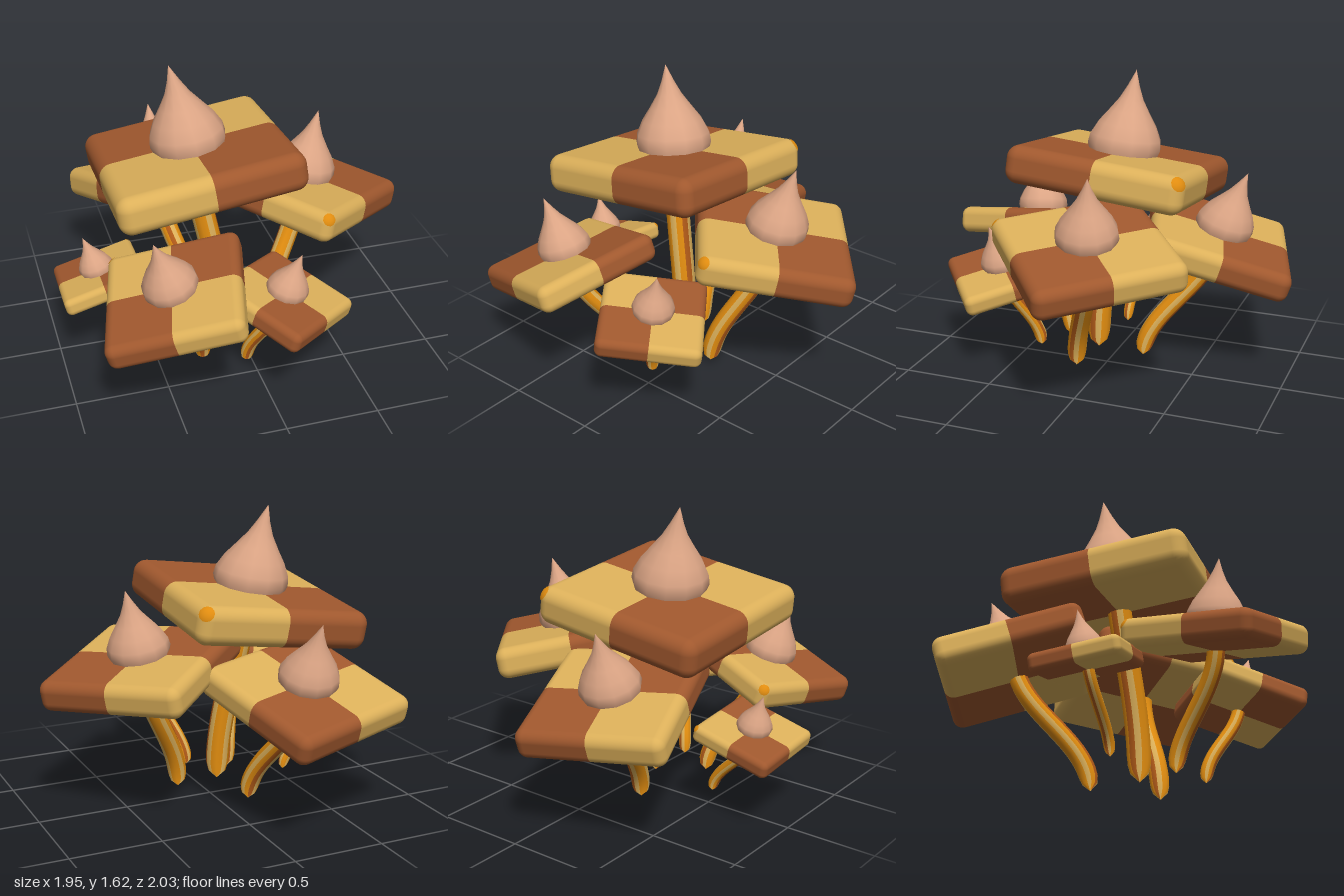
import * as THREE from 'three';

const mat = (name, color) => {
  const m = new THREE.MeshStandardMaterial({ color });
  m.name = name;
  return m;
};

// Reorders triangles so each material index given by pick() forms one group
function paint(geo, count, pick) {
  const idx = geo.index.array, bins = Array.from({ length: count }, () => []);
  for (let t = 0; t < idx.length / 3; t++) bins[pick(t, idx)].push(idx[3 * t], idx[3 * t + 1], idx[3 * t + 2]);
  geo.setIndex(bins.flat());
  geo.clearGroups();
  let start = 0;
  bins.forEach((b, i) => { geo.addGroup(start, b.length, i); start += b.length; });
  return geo;
}

const HALF = 0.5, THICK = 0.105, ROUND = 0.07;

// Rounded square biscuit in a two by two check
function capGeometry() {
  const n = 12;
  const geo = new THREE.BoxGeometry(2, 2, 2, n, n, n);
  const p = geo.attributes.position, nor = geo.attributes.normal;
  const half = [HALF, THICK, HALF];
  // Outer five steps of each axis cover the rounded rim, the middle is flat
  const remap = (u, h) => {
    const k = Math.round(Math.abs(u) * n / 2), core = h - ROUND;
    const a = k < 2 ? core * k / 2 : core + ROUND * Math.tan((k - 2) / 4 * Math.PI / 4);
    return Math.sign(u) * a;
  };
  for (let i = 0; i < p.count; i++) {
    const v = [p.getX(i), p.getY(i), p.getZ(i)].map((u, a) => remap(u, half[a]));
    const core = v.map((c, a) => THREE.MathUtils.clamp(c, ROUND - half[a], half[a] - ROUND));
    const d = new THREE.Vector3(...v.map((c, a) => c - core[a])).normalize();
    p.setXYZ(i, core[0] + d.x * ROUND, core[1] + d.y * ROUND, core[2] + d.z * ROUND);
    nor.setXYZ(i, d.x, d.y, d.z);
  }
  return paint(geo, 2, (t, idx) => {
    let x = 0, z = 0;
    for (let k = 0; k < 3; k++) { x += p.getX(idx[3 * t + k]); z += p.getZ(idx[3 * t + k]); }
    return x * z > 0 ? 1 : 0;
  });
}

// Pointed cream dollop with a slightly bent tip
function dollopGeometry() {
  const profile = [[0.19, -0.02], [0.207, 0.03], [0.2, 0.08], [0.165, 0.15], [0.115, 0.22],
    [0.068, 0.29], [0.035, 0.36], [0, 0.45]].map(([x, y]) => new THREE.Vector2(x, y));
  const geo = new THREE.LatheGeometry(profile, 12);
  const p = geo.attributes.position;
  for (let i = 0; i < p.count; i++) p.setX(i, p.getX(i) - 0.15 * Math.max(0, p.getY(i)) ** 2);
  return geo;
}

// Striped bent stalk with a rounded foot
function stemGeometry(base, top, normal, r) {
  const h = (top.y - base.y) * 0.4;
  const path = new THREE.CubicBezierCurve3(base, base.clone().setY(base.y + h),
    top.clone().addScaledVector(normal, -h), top);
  const rings = 20, sides = 12;
  const geo = new THREE.TubeGeometry(path, rings, r, sides);
  const p = geo.attributes.position, v = new THREE.Vector3();
  [0, 0.75, 0.95].forEach((k, j) => {
    const c = path.getPointAt(j / rings);
    for (let i = 0; i <= sides; i++) {
      const q = j * (sides + 1) + i;
      v.fromBufferAttribute(p, q).sub(c).multiplyScalar(k).add(c);
      p.setXYZ(q, v.x, v.y, v.z);
    }
  });
  const stripes = [0, 0, 1, 2, 0, 1];
  return paint(geo, 3, (t) => stripes[(Math.floor(t / 2) % sides) % stripes.length]);
}

export function createModel() {
  const gold = mat('golden biscuit', 0xdcb05a);
  const brown = mat('cocoa biscuit', 0xa0582e);
  const cream = mat('pink cream', 0xdca585);
  const orange = mat('orange', 0xe08c10);
  const rust = mat('rust stripe', 0xb05a18);

  const capGeo = capGeometry(), dollopGeo = dollopGeometry();
  const spotGeo = new THREE.SphereGeometry(ROUND + 0.004, 12, 4, 0, Math.PI * 2, 0, 0.6);
  const up = new THREE.Vector3(0, 1, 0);

  // size, cap centre, slope along x and z, turn in degrees, foot of the stem
  const mushrooms = [
    ['large', 1.0, [-0.22, 1.075, 0], [0.135, 0.095], 0, [-0.08, 0.05, 0.08]],
    ['right', 0.82, [0.415, 0.79, -0.045], [-0.2, 0.065], -140, [0.14, 0.02, 0.13]],
    ['back', 0.79, [-0.29, 0.69, -0.55], [0, 0.32], -73, [-0.16, 0, -0.16]],
    ['frontLeft', 0.71, [-0.47, 0.63, 0.59], [0.3, -0.09], 75, [-0.26, 0.015, 0.32]],
    ['front', 0.55, [0.11, 0.5, 0.58], [-0.24, -0.11], 127, [-0.04, 0.025, 0.42]],
    ['left', 0.46, [-0.755, 0.45, 0.015], [0.26, 0.11], 0, [-0.49, 0.05, 0.05]],
  ];

  const model = new THREE.Group();
  model.name = 'mushroomCluster';
  for (const [name, size, centre, slope, turn, foot] of mushrooms) {
    const group = new THREE.Group();
    group.name = name + 'Mushroom';
    const normal = new THREE.Vector3(-slope[0], 1, -slope[1]).normalize();

    // Tilted head: biscuit cap, cream and one orange corner spot
    const head = new THREE.Group();
    head.name = 'head';
    head.position.set(...centre);
    head.quaternion.setFromUnitVectors(up, normal)
      .multiply(new THREE.Quaternion().setFromAxisAngle(up, THREE.MathUtils.degToRad(turn)));
    head.scale.setScalar(size);

    const cap = new THREE.Mesh(capGeo, [gold, brown]);
    cap.name = 'cap';
    const dollop = new THREE.Mesh(dollopGeo, cream);
    dollop.name = 'creamDollop';
    dollop.position.y = THICK;
    const spot = new THREE.Mesh(spotGeo, orange);
    spot.name = 'cornerSpot';
    spot.position.set(HALF - ROUND, THICK - ROUND, ROUND - HALF);
    spot.quaternion.setFromUnitVectors(up, new THREE.Vector3(1, 0.9, -1).normalize());
    head.add(cap, dollop, spot);

    const top = new THREE.Vector3(...centre).addScaledVector(normal, -0.08 * size);
    const stem = new THREE.Mesh(
      stemGeometry(new THREE.Vector3(...foot), top, normal, 0.066 * size), [orange, gold, rust]);
    stem.name = 'stem';
    group.add(head, stem);
    model.add(group);
  }
  return model;
}
